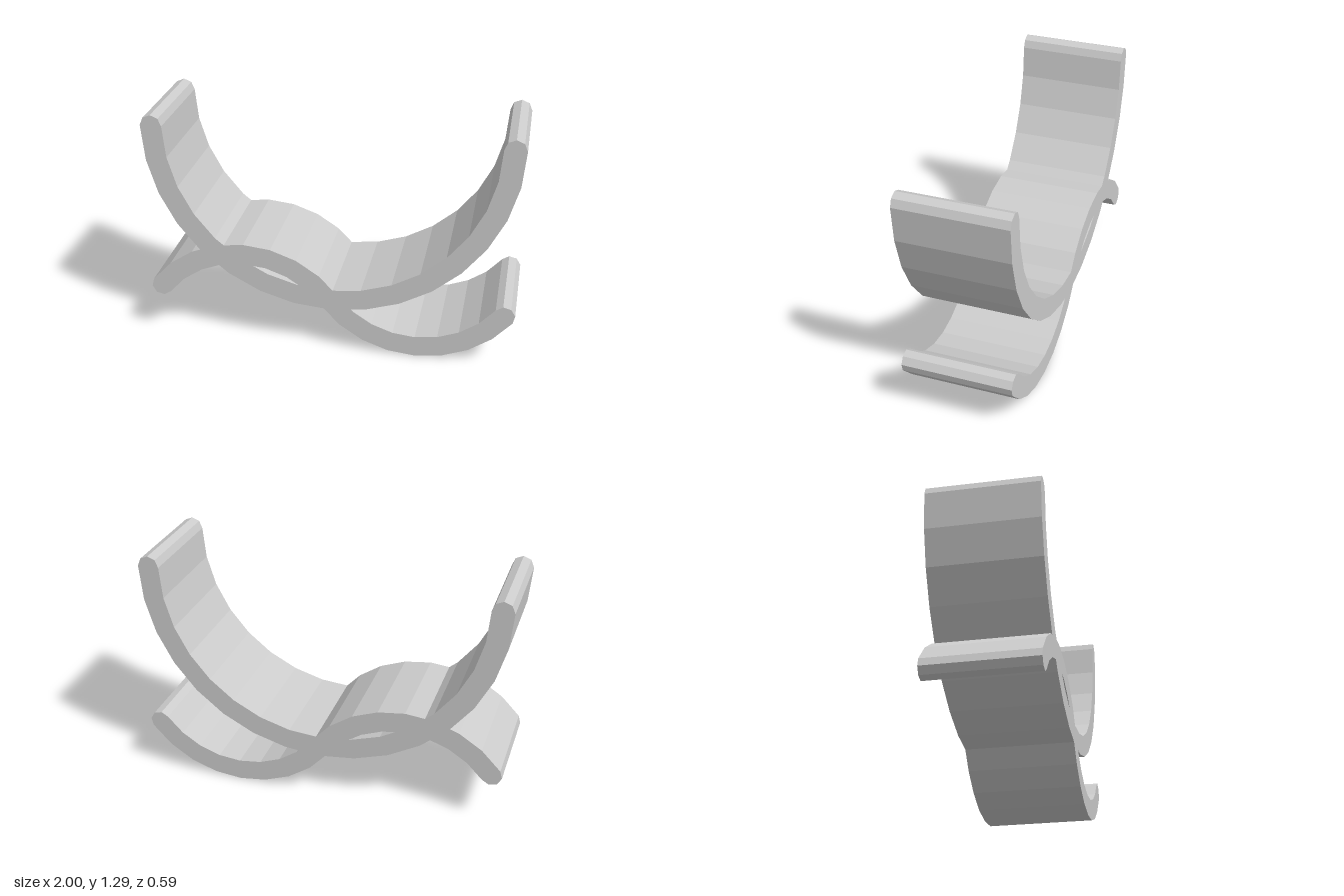
import * as THREE from 'three';

const HALF = 0.058;   // half the band thickness
const DEPTH = 0.59;   // band width along z

// Points on an arc; each keeps the unit normal on the right of travel
function arc(cx, cy, r, from, to, steps, side) {
  const points = [];
  for (let i = 0; i <= steps; i++) {
    const a = THREE.MathUtils.degToRad(from + (to - from) * i / steps);
    const dx = Math.cos(a), dy = Math.sin(a);
    points.push({ x: cx + r * dx, y: cy + r * dy, n: new THREE.Vector2(dx, dy).multiplyScalar(side) });
  }
  return points;
}

// Thick curved band with faceted round ends
function band(name, path, material) {
  const outline = [];
  const add = (p, turn) => {
    const n = p.n.clone().rotateAround(new THREE.Vector2(), turn);
    outline.push(new THREE.Vector2(p.x + n.x * HALF, p.y + n.y * HALF));
  };
  const last = path[path.length - 1];
  path.forEach(p => add(p, 0));
  for (let k = 1; k < 4; k++) add(last, k * Math.PI / 4);
  [...path].reverse().forEach(p => add(p, Math.PI));
  for (let k = 1; k < 4; k++) add(path[0], Math.PI + k * Math.PI / 4);

  const geometry = new THREE.ExtrudeGeometry(new THREE.Shape(outline), { depth: DEPTH, bevelEnabled: false });
  geometry.translate(0, 0, -DEPTH / 2);
  const mesh = new THREE.Mesh(geometry, material);
  mesh.name = name;
  return mesh;
}

export function createModel() {
  const group = new THREE.Group();
  group.name = 'crossedBands';
  const grey = new THREE.MeshStandardMaterial({ color: 0xcccccc });
  grey.name = 'light grey';

  // Large half-circle cradle
  group.add(band('cradle', arc(0, 1.237, 0.94, 180, 360, 16, 1), grey));

  // S-shaped base: a crest on the left running into a trough on the right
  const r = 0.5875, sweep = 53.13;
  const crest = arc(-0.47, -0.0585, r, 90 + sweep, 90 - sweep, 8, -1);
  const trough = arc(0.47, 0.6455, r, 270 - sweep, 270 + sweep, 8, 1);
  group.add(band('waveBase', [...crest, ...trough.slice(1)], grey));

  return group;
}
